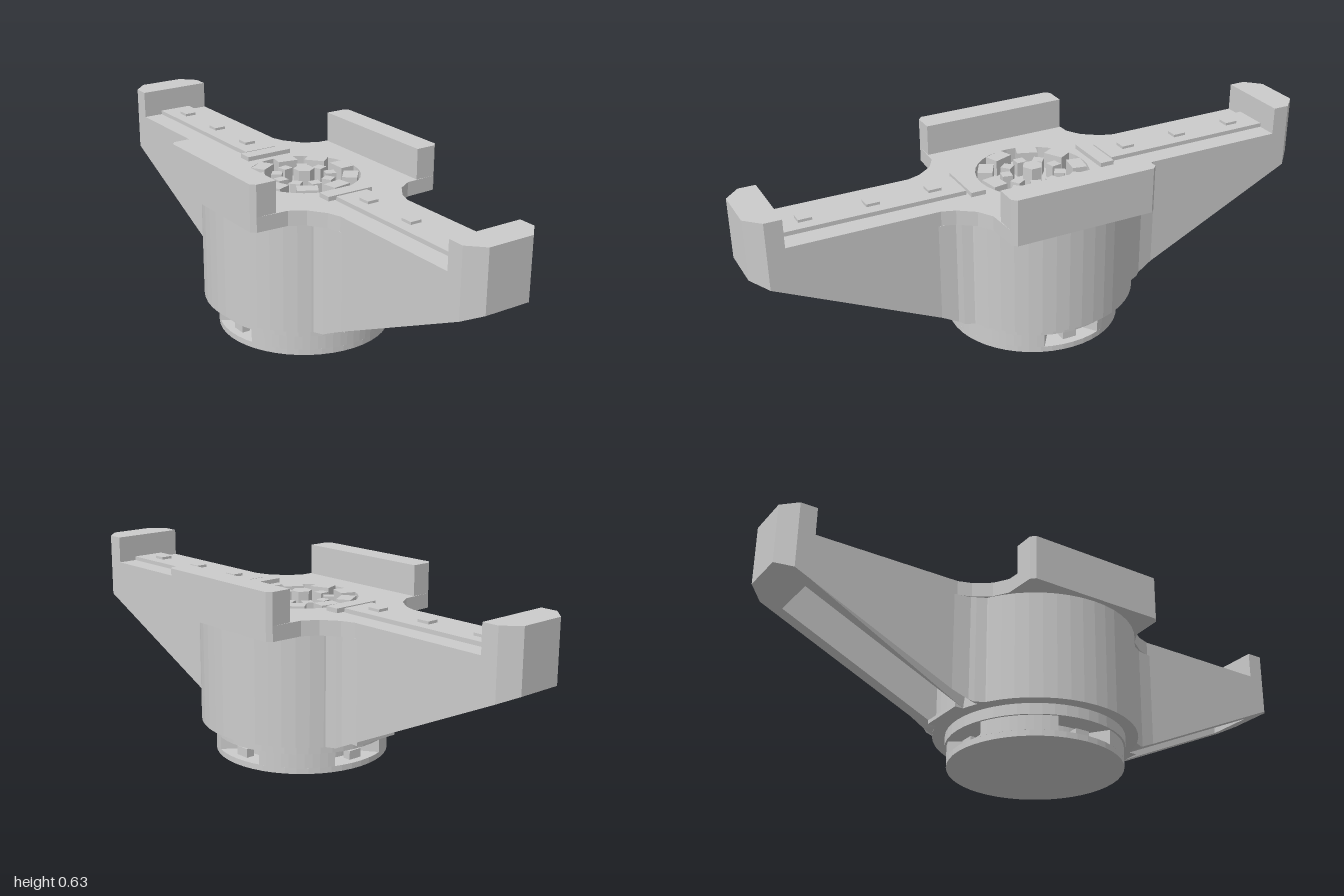
import * as THREE from 'three';

const mat = new THREE.MeshStandardMaterial({ color: 0xcccccc, flatShading: true });

function add(parent, name, geometry, x = 0, y = 0, z = 0) {
  const m = new THREE.Mesh(geometry, mat);
  m.name = name;
  m.position.set(x, y, z);
  parent.add(m);
  return m;
}

// Upright prism from a plan outline of [x, z] points; y0 may be a rule of z.
function prism(points, y0, y1, hole) {
  const shape = new THREE.Shape(points.map(([x, z]) => new THREE.Vector2(x, -z)));
  if (hole) shape.holes.push(new THREE.Path().absarc(0, 0, hole, 0, Math.PI * 2, true));
  const g = new THREE.ExtrudeGeometry(shape, { depth: 1, bevelEnabled: false, curveSegments: 16 });
  g.rotateX(-Math.PI / 2);
  const p = g.attributes.position;
  for (let i = 0; i < p.count; i++) {
    const low = typeof y0 === 'function' ? y0(p.getZ(i)) : y0;
    p.setY(i, p.getY(i) > 0.5 ? y1 : low);
  }
  g.computeVertexNormals();
  return g;
}

const cyl = (r, h, n = 48) => new THREE.CylinderGeometry(r, r, h, n);
const box = (w, h, d) => new THREE.BoxGeometry(w, h, d);
const slope = z => 0.107 + Math.max(0, z - 0.33) * 0.467;

// Round base with slots cut into its rim at both sides and the back
function makeBase() {
  const base = new THREE.Group();
  base.name = 'base';
  add(base, 'baseDisc', cyl(0.293, 0.02), 0, 0.01);
  add(base, 'baseCollar', cyl(0.3, 0.037), 0, 0.0885);
  const outline = [];
  const slots = [0, Math.PI, Math.PI * 1.5];
  const n = 72;
  const inSlot = a => slots.some(s => Math.abs(Math.atan2(Math.sin(a - s), Math.cos(a - s))) < 0.3);
  for (let i = 0; i < n; i++) {
    const a = (i / n) * Math.PI * 2;
    const r = inSlot(a) ? 0.22 : 0.293;
    outline.push([r * Math.cos(a), r * Math.sin(a)]);
  }
  add(base, 'slottedRim', prism(outline, 0.02, 0.07));
  // Small latch in each slot
  slots.forEach(a => {
    const latch = add(base, 'latch', box(0.03, 0.03, 0.05), 0.25 * Math.cos(a), 0.035, 0.25 * Math.sin(a));
    latch.rotation.y = -a;
  });
  return base;
}

// One arm pointing along +z, open underneath
function makeArm() {
  const arm = new THREE.Group();
  arm.name = 'arm';
  for (const s of [-1, 1]) {
    const wall = [[0.085, 0.2], [0.085, 0.33], [0.085, 0.9], [0.13, 0.9], [0.13, 0.4],
      [0.14, 0.345], [0.15, 0.33], [0.18, 0.27]];
    add(arm, 'armWall', prism(wall.map(([x, z]) => [x * s, z]), slope, 0.475));
  }
  const tip = [[-0.13, 0.89], [0.13, 0.89], [0.13, 0.947], [0.08, 0.997], [-0.08, 0.997], [-0.13, 0.947]];
  add(arm, 'armTip', prism(tip, slope, 0.62));
  add(arm, 'channelLip', box(0.17, 0.013, 0.06), 0, 0.1135, 0.33);

  // Raised rail with a row of small stops
  add(arm, 'rail', box(0.12, 0.016, 0.62), 0, 0.531, 0.58);
  add(arm, 'crossbar', box(0.17, 0.02, 0.05), 0, 0.53, 0.238);
  for (const z of [0.36, 0.57, 0.79]) add(arm, 'railStop', box(0.04, 0.012, 0.045), 0, 0.542, z);
  return arm;
}

// Shallow well with a toothed ring and a centre pin
function makeHub() {
  const hub = new THREE.Group();
  hub.name = 'hub';
  add(hub, 'hubPin', cyl(0.035, 0.07, 6), 0, 0.51);
  for (let i = 0; i < 9; i++) {
    const a = (i / 9) * Math.PI * 2;
    const outer = add(hub, 'outerTooth', box(0.05, 0.055, 0.07), 0.155 * Math.cos(a), 0.5025, 0.155 * Math.sin(a));
    outer.rotation.y = -a;
    const b = a + 0.35;
    const inner = add(hub, 'innerTooth', box(0.035, 0.05, 0.035), 0.09 * Math.cos(b), 0.5, 0.09 * Math.sin(b));
    inner.rotation.y = -b;
  }
  return hub;
}

export function createModel() {
  const root = new THREE.Group();
  root.name = 'doubleArmMount';
  const body = new THREE.Group();
  body.name = 'body';
  body.rotation.y = -0.075;
  root.add(body);

  body.add(makeBase());
  add(body, 'drum', cyl(0.342, 0.368), 0, 0.291);

  // Top plate: square centre flaring into both arms, with a round well
  const quarter = [[0.13, 0.9], [0.13, 0.39], [0.145, 0.345], [0.185, 0.29], [0.235, 0.26], [0.345, 0.255], [0.36, 0.24]];
  const rev = [...quarter].reverse();
  const outline = [
    ...quarter,
    ...rev.map(([x, z]) => [x, -z]),
    ...quarter.map(([x, z]) => [-x, -z]),
    ...rev.map(([x, z]) => [-x, z]),
  ];
  add(body, 'topPlate', prism(outline, 0.475, 0.525, 0.19));
  body.add(makeHub());

  // Side walls standing on the plate
  for (const s of [-1, 1]) {
    const wall = [[0.275, -0.255], [0.345, -0.255], [0.36, -0.24], [0.36, 0.24], [0.345, 0.255], [0.275, 0.255]];
    add(body, 'sideWall', prism(wall.map(([x, z]) => [x * s, z]), 0.525, 0.63));
  }

  // Front and back arms
  for (const turn of [0, Math.PI]) {
    const arm = makeArm();
    arm.rotation.y = turn;
    body.add(arm);
  }
  return root;
}
